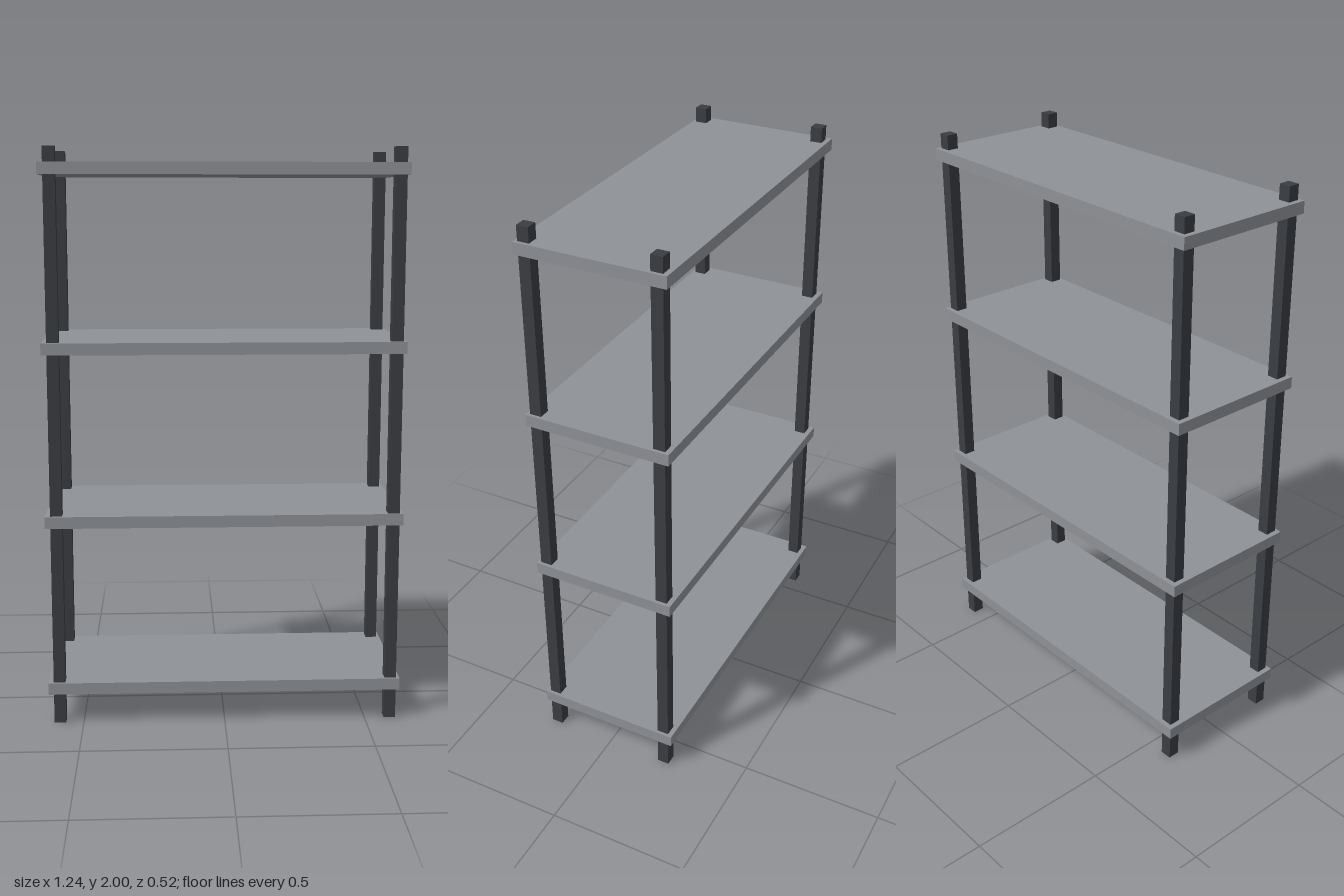
import * as THREE from 'three';

export function createModel() {
  const model = new THREE.Group();
  model.name = 'shelvingUnit';

  const shelfGrey = new THREE.MeshStandardMaterial({ color: 0x8e9196 });
  shelfGrey.name = 'shelf grey';
  const postCharcoal = new THREE.MeshStandardMaterial({ color: 0x3a3d42 });
  postCharcoal.name = 'post charcoal';

  const addBox = (name, size, position, material) => {
    const mesh = new THREE.Mesh(new THREE.BoxGeometry(...size), material);
    mesh.name = name;
    mesh.position.set(...position);
    model.add(mesh);
  };

  // Four evenly spaced shelves
  for (let i = 0; i < 4; i++) {
    addBox(`shelf${i + 1}`, [1.244, 0.041, 0.516], [0, 0.128 + i * 0.6, 0], shelfGrey);
  }

  // Square corner posts, standing through every shelf and just above the top one
  for (const [side, x] of [['Right', -0.583], ['Left', 0.59]]) {
    for (const [end, z] of [['back', -0.22], ['front', 0.227]]) {
      addBox(`${end}${side}Post`, [0.041, 2, 0.041], [x, 1, z], postCharcoal);
    }
  }

  return model;
}
